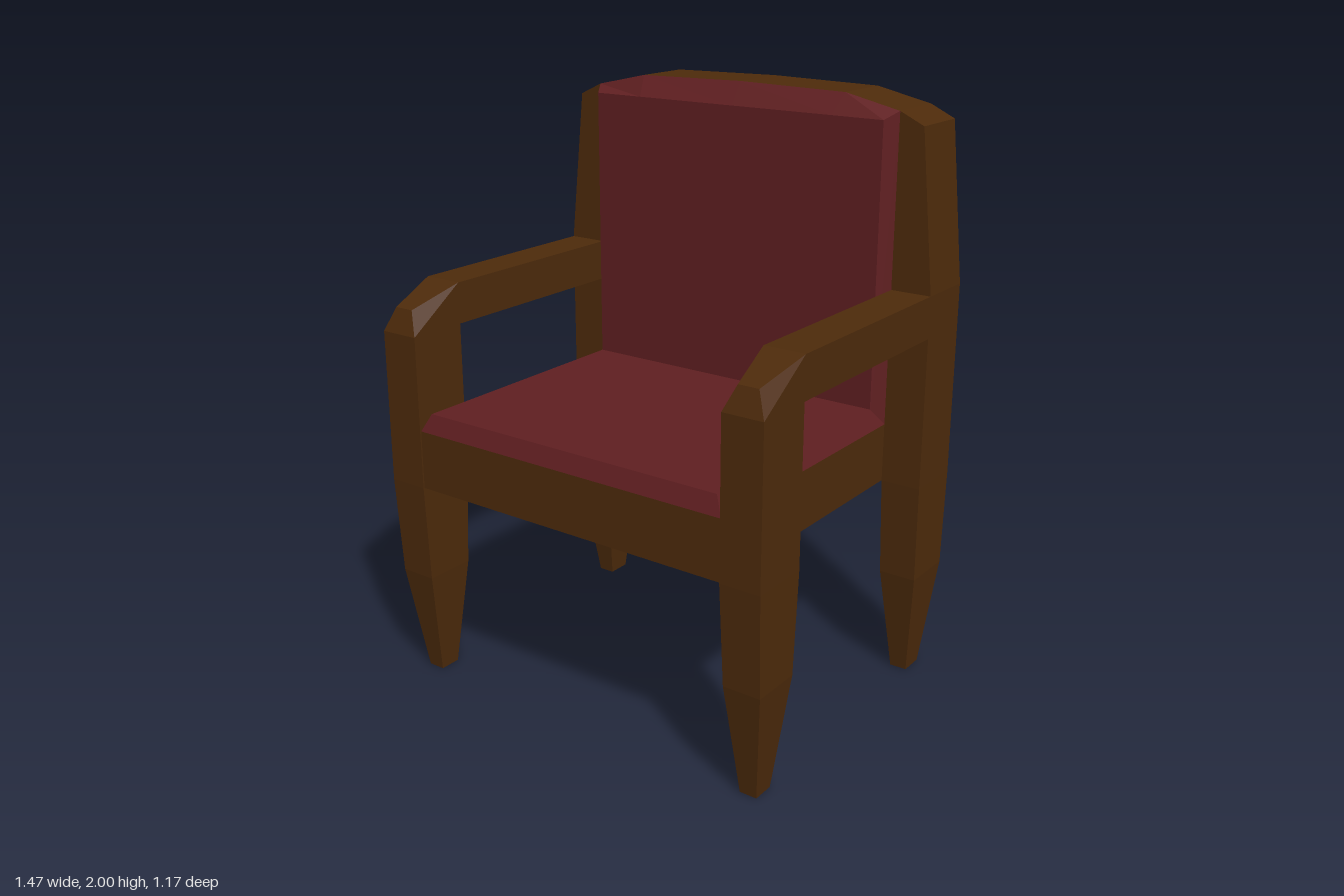
import * as THREE from 'three';
import { ConvexGeometry } from 'three/addons/geometries/ConvexGeometry.js';

const wood = new THREE.MeshStandardMaterial({ color: 0x4e2b0b, flatShading: true });
const fabric = new THREE.MeshStandardMaterial({ color: 0x601f21, flatShading: true });
const grey = new THREE.MeshStandardMaterial({ color: 0xcccccc, flatShading: true });

// Closed solid through matching rings of [x, y, z] points, faces turned outward
function loft(rings) {
  const tris = [];
  const n = rings[0].length;
  for (let r = 0; r + 1 < rings.length; r++) {
    for (let i = 0; i < n; i++) {
      const j = (i + 1) % n;
      const [a, b, c, d] = [rings[r][i], rings[r][j], rings[r + 1][j], rings[r + 1][i]];
      tris.push([a, b, c], [a, c, d]);
    }
  }
  const last = rings[rings.length - 1];
  for (let i = 1; i + 1 < n; i++) {
    tris.push([rings[0][0], rings[0][i + 1], rings[0][i]], [last[0], last[i], last[i + 1]]);
  }
  // the signed volume tells whether the corners run the wrong way
  let volume = 0;
  for (const [a, b, c] of tris) {
    volume += new THREE.Vector3(...a).dot(new THREE.Vector3(...b).cross(new THREE.Vector3(...c)));
  }
  if (volume < 0) tris.forEach((t) => t.reverse());
  const geometry = new THREE.BufferGeometry();
  geometry.setAttribute('position', new THREE.Float32BufferAttribute(tris.flat(2), 3));
  geometry.computeVertexNormals();
  return geometry;
}

// Horizontal rectangle; the outer edge may sit at another height
const flatRing = (x0, x1, z0, z1, y, yOuter = y) =>
  [[x0, y, z0], [x1, yOuter, z0], [x1, yOuter, z1], [x0, y, z1]];

export function createModel() {
  const chair = new THREE.Group();
  chair.name = 'armchair';
  const add = (name, geometry, material) => {
    const mesh = new THREE.Mesh(geometry, material);
    mesh.name = name;
    chair.add(mesh);
  };
  const box = (name, material, x0, x1, y0, y1, z0, z1) => {
    const g = new THREE.BoxGeometry(x1 - x0, y1 - y0, z1 - z0);
    g.translate((x0 + x1) / 2, (y0 + y1) / 2, (z0 + z1) / 2);
    add(name, g, material);
  };

  // Legs, posts and armrests, mirrored
  for (const [s, side] of [[1, 'left'], [-1, 'right']]) {
    const mirrored = (rings) => loft(rings.map((ring) => ring.map(([x, y, z]) => [s * x, y, z])));
    add(side + 'FrontLeg', mirrored([
      flatRing(0.63, 0.69, 0.44, 0.515, 0),
      flatRing(0.6, 0.73, 0.393, 0.57, 0.38),
      flatRing(0.595, 0.735, 0.38, 0.588, 0.72),
      flatRing(0.595, 0.735, 0.38, 0.588, 1.24),
    ]), wood);
    add(side + 'RearLegAndPost', mirrored([
      flatRing(0.63, 0.69, -0.53, -0.445, 0),
      flatRing(0.6, 0.73, -0.58, -0.388, 0.38),
      flatRing(0.595, 0.735, -0.585, -0.375, 0.72),
      flatRing(0.595, 0.735, -0.585, -0.375, 1.38),
      flatRing(0.595, 0.68, -0.585, -0.375, 1.95, 1.91),
    ]), wood);
    // armrest with a chamfered front end
    const armPoints = [
      [0.595, 1.24, -0.375], [0.735, 1.24, -0.375], [0.735, 1.38, -0.375], [0.595, 1.38, -0.375],
      [0.735, 1.38, 0.38], [0.595, 1.38, 0.38], [0.7, 1.32, 0.56], [0.63, 1.32, 0.56],
      [0.595, 1.24, 0.588], [0.735, 1.24, 0.588],
    ].map(([x, y, z]) => new THREE.Vector3(s * x, y, z));
    add(side + 'Armrest', new ConvexGeometry(armPoints), wood);
  }

  // Seat frame and cushion
  box('seatFrame', wood, -0.595, 0.595, 0.72, 0.92, -0.485, 0.583);
  add('seatCushion', loft([
    flatRing(-0.595, 0.595, -0.375, 0.583, 0.92),
    flatRing(-0.565, 0.565, -0.375, 0.56, 0.98),
  ]), fabric);

  // Rear rail with a covered middle
  box('rearRailLeft', wood, 0.2, 0.595, 0.72, 0.92, -0.585, -0.485);
  box('rearRailRight', wood, -0.595, -0.2, 0.72, 0.92, -0.585, -0.485);
  box('rearRailPatch', fabric, -0.2, 0.2, 0.72, 0.92, -0.585, -0.485);
  box('rearRailTopPlate', grey, -0.2, 0.2, 0.92, 0.924, -0.585, -0.485);

  // Arched top rail: x, top height, height of the underside where it meets the panel
  const arch = [
    [-0.595, 1.95, 1.91], [-0.4, 1.993, 1.92], [0, 2, 1.88], [0.4, 1.993, 1.92], [0.595, 1.95, 1.91],
  ];
  add('topRail', loft(arch.map(([x, y, under]) => [
    [x, y, -0.375], [x, y, -0.585], [x, y - 0.02, -0.585], [x, under, -0.485], [x, under, -0.375],
  ])), wood);

  // Back panel with a grey band and strips standing just off it
  box('backPanel', wood, -0.595, 0.595, 0.92, 1.92, -0.485, -0.375);
  box('backBand', grey, -0.572, 0.572, 0.935, 1.24, -0.525, -0.52);
  for (const s of [1, -1]) {
    box('backStrip', grey, s * 0.283 - 0.092, s * 0.283 + 0.092, 1.39, 1.935, -0.525, -0.52);
  }

  // Back cushion, bevelled towards its front face
  add('backCushion', loft([
    [[0.595, 0.92, -0.375], [-0.595, 0.92, -0.375], ...arch.map(([x, y]) => [x, y, -0.375])],
    [[0.565, 0.92, -0.325], [-0.565, 0.92, -0.325],
      ...arch.map(([x]) => [x * 0.95, 1.925, -0.325])],
  ]), fabric);

  return chair;
}
